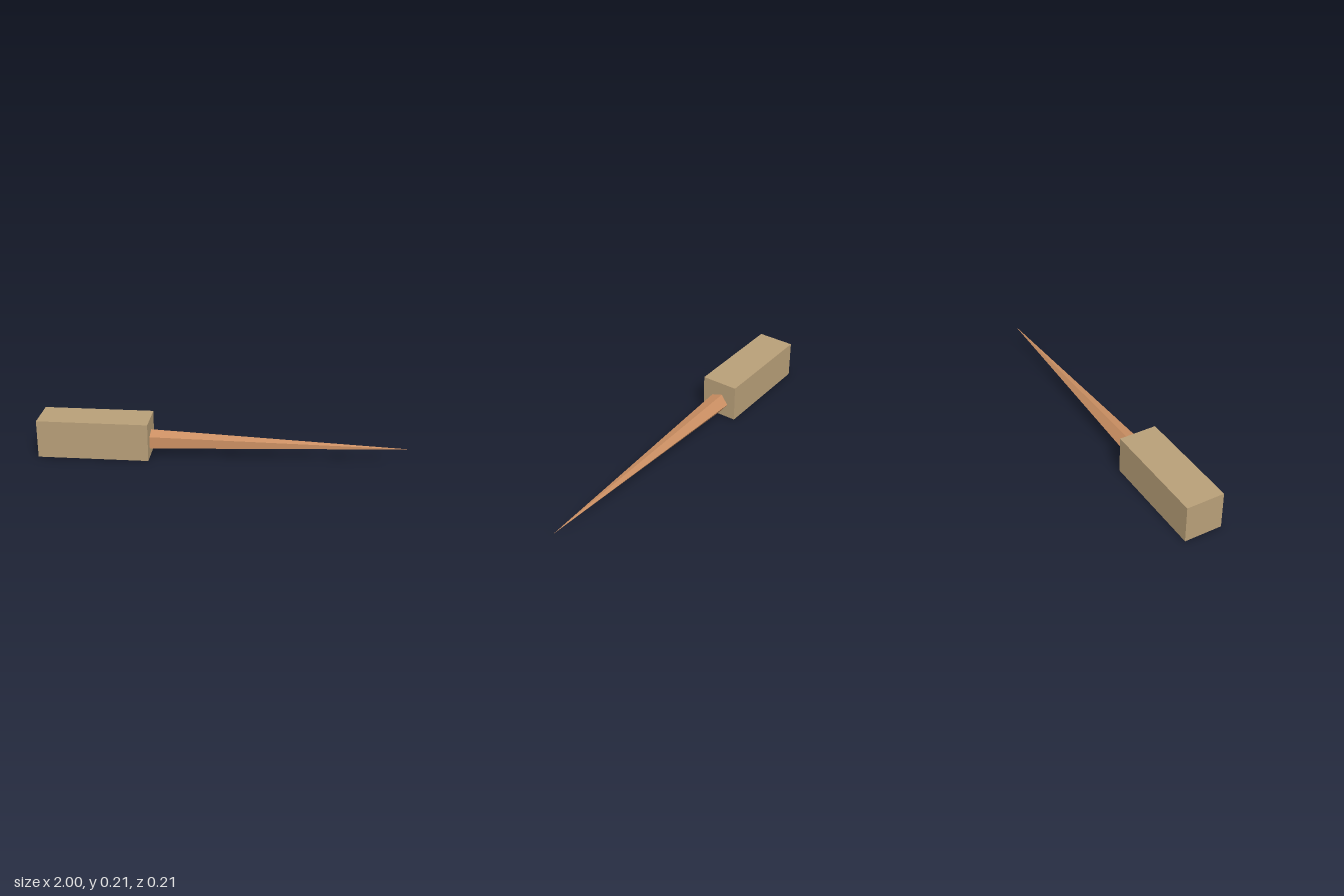
import * as THREE from 'three';

export function createModel() {
  const model = new THREE.Group();
  const tan = new THREE.MeshStandardMaterial({ color: 0xb89f78, flatShading: true });
  tan.name = 'tan';
  const copper = new THREE.MeshStandardMaterial({ color: 0xcc9063, flatShading: true });
  copper.name = 'copper';

  // Square block handle
  const handle = new THREE.Mesh(new THREE.BoxGeometry(0.6, 0.207, 0.207), tan);
  handle.name = 'handle';
  handle.position.set(-0.7, 0.1035, 0);

  // Five-sided spike, lying along +x with one edge at the back
  const spikeGeometry = new THREE.ConeGeometry(0.056, 1.4, 5)
    .rotateY(Math.PI)
    .rotateZ(-Math.PI / 2);
  const spike = new THREE.Mesh(spikeGeometry, copper);
  spike.name = 'spike';
  spike.position.set(0.3, 0.081, 0);

  model.add(handle, spike);
  return model;
}
